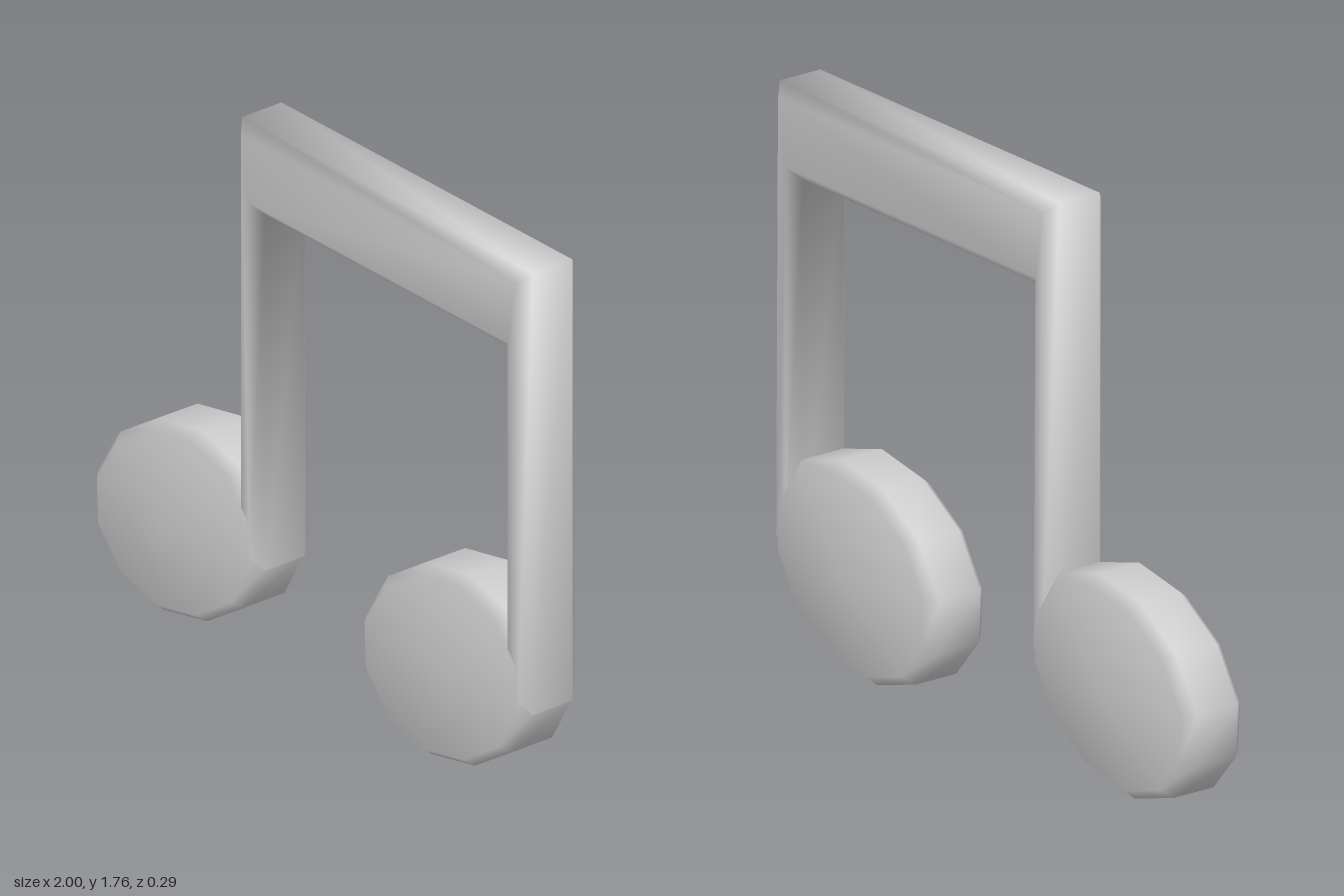
import * as THREE from 'three';
import { mergeVertices } from 'three/addons/utils/BufferGeometryUtils.js';

const NOTE_SPACING = 1.23;
const HEAD_CENTRE = [-0.615, 0.33];
const BEVEL = 0.036;

const material = new THREE.MeshStandardMaterial({ color: 0xcccccc });

// Weld the vertices so the normals run smoothly over the bevels
function smooth(geometry) {
  geometry.deleteAttribute('normal');
  geometry.deleteAttribute('uv');
  const welded = mergeVertices(geometry, 1e-4);
  welded.computeVertexNormals();
  return welded;
}

// Two stems joined by a thick beam, as one bevelled outline
function frameGeometry() {
  const [l0, l1, r0, r1] = [-0.34, -0.235, 0.885, 0.995];
  const outline = [
    [l0, 0.36], [l1, 0.31], [l1, 1.48], [r0, 1.48],
    [r0, 0.36], [r1, 0.31], [r1, 1.76], [l0, 1.76],
  ].map(([x, y]) => new THREE.Vector2(x, y));
  const geometry = new THREE.ExtrudeGeometry(new THREE.Shape(outline), {
    depth: 0.15,
    bevelEnabled: true,
    bevelSegments: 1,
    bevelSize: BEVEL,
    bevelOffset: -BEVEL,
    bevelThickness: 0.035,
  });
  geometry.translate(0, 0, -0.075);
  return smooth(geometry);
}

// Tilted twelve-sided disc: bevelled rim, faces rising to a central point
function headGeometry() {
  const outline = [
    [-1, 0.35], [-0.993, 0.185], [-0.885, 0.058], [-0.7, 0.003],
    [-0.5, 0.042], [-0.325, 0.155], [-0.235, 0.315], [-0.24, 0.48],
    [-0.34, 0.605], [-0.53, 0.658], [-0.725, 0.622], [-0.9, 0.51],
  ];
  const [cx, cy] = HEAD_CENTRE;
  const n = outline.length;
  // Rings from front to back: [scale, z]
  const rings = [[0.91, 0.11], [1, 0.075], [1, -0.075], [0.91, -0.11]];
  const positions = [];
  const indices = [];
  for (const [s, z] of rings) {
    for (const [x, y] of outline) positions.push((x - cx) * s, (y - cy) * s, z);
  }
  const front = rings.length * n;
  const back = front + 1;
  positions.push(0, 0, 0.147, 0, 0, -0.147);
  for (let i = 0; i < n; i++) {
    const j = (i + 1) % n;
    indices.push(front, i, j);
    for (let r = 0; r < rings.length - 1; r++) {
      const a = r * n;
      const b = a + n;
      indices.push(a + i, b + i, b + j, a + i, b + j, a + j);
    }
    const last = (rings.length - 1) * n;
    indices.push(back, last + j, last + i);
  }
  const geometry = new THREE.BufferGeometry();
  geometry.setAttribute('position', new THREE.Float32BufferAttribute(positions, 3));
  geometry.setIndex(indices);
  geometry.computeVertexNormals();
  return geometry;
}

export function createModel() {
  const group = new THREE.Group();
  group.name = 'beamedNotes';

  const frame = new THREE.Mesh(frameGeometry(), material);
  frame.name = 'stemsAndBeam';
  group.add(frame);

  const headShape = headGeometry();
  ['rightNoteHead', 'leftNoteHead'].forEach((name, i) => {
    const head = new THREE.Mesh(headShape, material);
    head.name = name;
    head.position.set(HEAD_CENTRE[0] + i * NOTE_SPACING, HEAD_CENTRE[1], 0);
    group.add(head);
  });

  return group;
}
